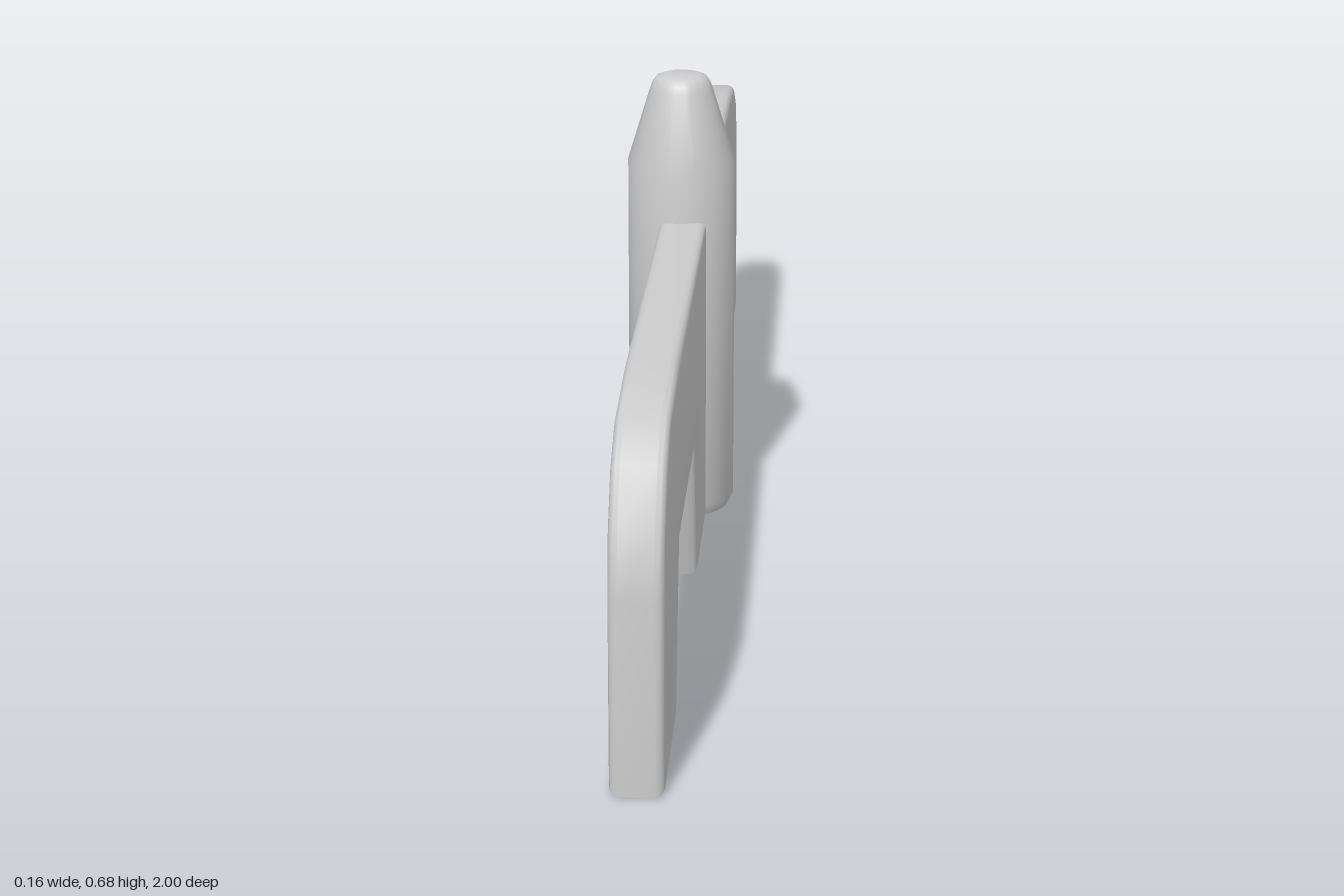
import * as THREE from 'three';
import { toCreasedNormals } from 'three/addons/utils/BufferGeometryUtils.js';

const material = new THREE.MeshStandardMaterial({ color: 0xcccccc });
const openMaterial = new THREE.MeshStandardMaterial({ color: 0xcccccc, side: THREE.DoubleSide });

// One half of the flat panel: rounded outer shoulder and a notch between two feet
function panelGeometry() {
  const outline = [
    [0.04, 0], [0.29, 0], [0.35, 0.22], [0.707, 0.22], [0.77, 0],
    [1, 0], [1, 0.26], [0.987, 0.347], [0.942, 0.417], [0.873, 0.455], [0.71, 0.471], [0.04, 0.471],
  ];
  const shape = new THREE.Shape(outline.map(([x, y]) => new THREE.Vector2(x, y)));
  const thickness = 0.07, bevel = 0.012;
  const geometry = new THREE.ExtrudeGeometry(shape, {
    depth: thickness - 2 * bevel,
    bevelThickness: bevel,
    bevelSize: bevel,
    bevelOffset: -bevel,
    bevelSegments: 3,
  });
  geometry.translate(0, 0, -thickness / 2 + bevel);
  geometry.rotateY(-Math.PI / 2);
  return toCreasedNormals(geometry, 0.7);
}

// Central post: chamfered open foot, straight shaft, tapered nose with a rounded tip
function postGeometry() {
  const profile = [
    [0.072, 0.003], [0.08, 0.02], [0.08, 0.55], [0.047, 0.658], [0.043, 0.669],
    [0.037, 0.677], [0.028, 0.68], [0, 0.68],
  ];
  const lathe = new THREE.LatheGeometry(profile.map(([r, y]) => new THREE.Vector2(r, y)), 40);
  return toCreasedNormals(lathe, 0.7);
}

export function createModel() {
  const model = new THREE.Group();
  model.name = 'postWithPanels';

  const post = new THREE.Mesh(postGeometry(), openMaterial);
  post.name = 'centralPost';
  model.add(post);

  // Front and back panels, set slightly off the post's centre line
  const geometry = panelGeometry();
  for (const [name, angle] of [['frontPanel', 0], ['backPanel', Math.PI]]) {
    const panel = new THREE.Mesh(geometry, material);
    panel.name = name;
    panel.rotation.y = angle;
    panel.position.x = 0.006;
    model.add(panel);
  }
  return model;
}
